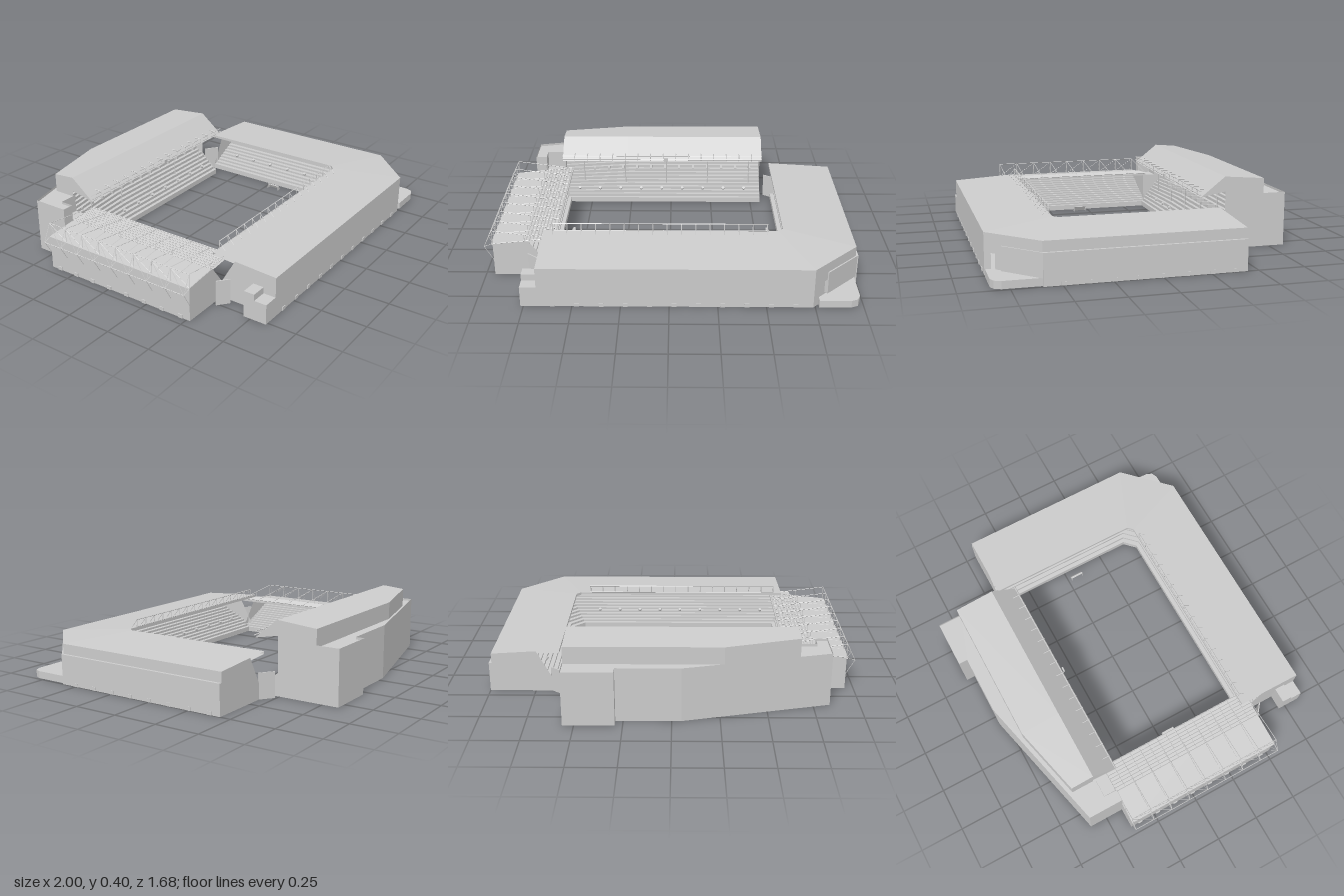
import * as THREE from 'three';
import { mergeGeometries } from 'three/addons/utils/BufferGeometryUtils.js';

const mat = new THREE.MeshStandardMaterial({ color: 0xcccccc, side: THREE.DoubleSide, flatShading: true });
const range = (n, f) => Array.from({ length: n }, (_, i) => f(i));

// Ruled surface through a list of cross-sections of [x, y, z] points
function loft(sections) {
  const p = [];
  for (let i = 0; i < sections.length - 1; i++) {
    const a = sections[i], b = sections[i + 1];
    for (let j = 0; j < a.length - 1; j++) {
      p.push(...a[j], ...b[j], ...b[j + 1], ...a[j], ...b[j + 1], ...a[j + 1]);
    }
  }
  const g = new THREE.BufferGeometry();
  g.setAttribute('position', new THREE.Float32BufferAttribute(p, 3));
  g.computeVertexNormals();
  return g;
}

const level = (path, y) => path.map(([x, z]) => [x, y, z]);
const wall = (path, y0, y1) => loft([level(path, y0), level(path, y1)]);

// Horizontal slab from a plan outline of [x, z] points
function slab(path, y0, y1) {
  const s = new THREE.Shape(path.map(([x, z]) => new THREE.Vector2(x, -z)));
  const g = y1 > y0 ? new THREE.ExtrudeGeometry(s, { depth: y1 - y0, bevelEnabled: false }) : new THREE.ShapeGeometry(s);
  return g.rotateX(-Math.PI / 2).translate(0, y0, 0);
}

// Upright plate from a [z, y] outline, placed at x
function plateX(pts, x) {
  const s = new THREE.Shape(pts.map(([z, y]) => new THREE.Vector2(-z, y)));
  return new THREE.ShapeGeometry(s).rotateY(Math.PI / 2).translate(x, 0, 0);
}

// Upright plate from an [x, y] outline, placed at z
function plateZ(pts, z) {
  return new THREE.ShapeGeometry(new THREE.Shape(pts.map(([x, y]) => new THREE.Vector2(x, y)))).translate(0, 0, z);
}

// Stepped rows rising from an inner plan path to an outer one
function terraces(inner, outer, y0, y1, rows = 14) {
  const at = (t, y) => inner.map(([x, z], i) => [x + (outer[i][0] - x) * t, y, z + (outer[i][1] - z) * t]);
  const s = [at(0, 0)];
  for (let r = 0; r < rows; r++) {
    const y = y0 + (y1 - y0) * r / (rows - 1);
    s.push(at(r / rows, y), at((r + 1) / rows, y));
  }
  return loft(s);
}

function rod(a, b, r = 0.0015) {
  const A = new THREE.Vector3(...a), B = new THREE.Vector3(...b), d = B.clone().sub(A);
  const g = new THREE.CylinderGeometry(r, r, d.length(), 4);
  g.applyQuaternion(new THREE.Quaternion().setFromUnitVectors(new THREE.Vector3(0, 1, 0), d.normalize()));
  return g.translate(...A.add(B).multiplyScalar(0.5).toArray());
}

const box = (w, h, d, x, y, z, ry = 0) => new THREE.BoxGeometry(w, h, d).rotateY(ry).translate(x, y, z);

export function createModel() {
  const model = new THREE.Group();
  const add = (parent, name, ...geos) => {
    const g = mergeGeometries(geos.map(q => {
      const n = q.index ? q.toNonIndexed() : q;
      n.deleteAttribute('uv');
      return n;
    }));
    const m = new THREE.Mesh(g, mat);
    m.name = name;
    parent.add(m);
  };
  const group = name => {
    const g = new THREE.Group();
    g.name = name;
    model.add(g);
    return g;
  };

  // Front and left stands, joined around the corner
  const L = group('cornerStand');
  const eave = [[-0.68, 0.84], [0.74, 0.84], [0.985, 0.595], [0.985, -0.44]];
  const roofIn = [[-0.68, 0.467], [0.585, 0.467], [0.612, 0.44], [0.612, -0.44]];
  const seatIn = [[-0.68, 0.485], [0.57, 0.485], [0.63, 0.425], [0.63, -0.44]];
  const seatOut = [[-0.68, 0.82], [0.73, 0.82], [0.965, 0.585], [0.965, -0.44]];
  add(L, 'roof', loft([level(eave, 0.205), level(eave, 0.22), level(roofIn, 0.243), level(roofIn, 0.228), level(eave, 0.205)]));
  add(L, 'outerWall', wall([eave[0], eave[1]], 0, 0.215), wall([eave[1], eave[2]], 0.12, 0.215),
    wall([eave[2], eave[3]], 0, 0.215), wall([[0.74, 0.84], [0.77, 0.81]], 0, 0.12), wall([[0.77, 0.79], [0.975, 0.585]], 0, 0.13));
  add(L, 'cornerBay', slab([[0.82, 0.77], [0.995, 0.595], [0.98, 0.58], [0.805, 0.755]], 0.04, 0.165));
  add(L, 'cornerBase', slab([[0.77, 0.84], [0.935, 0.84], [0.97, 0.825], [0.985, 0.79], [0.985, 0.59], [0.77, 0.805]], 0, 0.04));
  add(L, 'lowerLedge', box(0.02, 0.165, 1.035, 0.99, 0.0825, 0.0775));
  add(L, 'terraces', terraces(seatIn, seatOut, 0.03, 0.185));
  add(L, 'floor', slab([...seatIn, [0.985, -0.44], [0.985, 0.595], [0.74, 0.84], [-0.68, 0.84]], 0, 0));
  add(L, 'endWalls',
    plateX([[0.485, 0], [0.84, 0], [0.84, 0.22], [0.6, 0.233], [0.485, 0.03]], -0.68),
    plateZ([[0.63, 0], [0.985, 0], [0.985, 0.22], [0.74, 0.235], [0.63, 0.03]], -0.44));
  add(L, 'edgeTruss', rod([-0.63, 0.285, 0.47], [0.53, 0.285, 0.47], 0.003), rod([-0.63, 0.245, 0.47], [0.53, 0.245, 0.47], 0.002),
    ...range(16, i => rod([-0.63 + i * 0.077, 0.235, 0.475], [-0.63 + i * 0.077, 0.287, 0.47], 0.0025)),
    ...range(16, i => rod([-0.63 + i * 0.077, 0.285, 0.47], [-0.63 + i * 0.077, 0.238, 0.51])));
  add(L, 'stairBlock', box(0.09, 0.11, 0.07, -0.72, 0.055, 0.805), box(0.09, 0.145, 0.06, -0.72, 0.0725, 0.74));
  add(L, 'gates', ...range(11, i => box(0.025, 0.02, 0.006, -0.6 + i * 0.125, 0.01, 0.841)),
    ...range(8, i => box(0.006, 0.02, 0.025, 1.0, 0.01, -0.38 + i * 0.125)));

  // Back stand with its tall canopy
  const N = group('backStand');
  const back = [[0.56, -0.49], [0.56, -0.84], [0.29, -0.84], [0.29, -0.79], [-0.05, -0.79], [-0.84, -0.6],
    [-0.84, -0.4], [-0.775, -0.4], [-0.775, -0.475], [-0.67, -0.475]];
  add(N, 'outerWall', wall(back, 0, 0.298));
  add(N, 'flatRoof', slab([...back.slice(1), [-0.67, -0.61], [-0.27, -0.705], [0.56, -0.705]], 0.285, 0.285));
  add(N, 'cornerAnnex', box(0.105, 0.2, 0.075, -0.7225, 0.1, -0.4375));
  const canopy = (x, zb) => [[-0.35, 0.292], [-0.487, 0.4], [zb, 0.4 + (zb + 0.487) * 0.085], [zb, 0.285],
    [-0.49, 0.318], [-0.35, 0.292]].map(([z, y]) => [x, y, z]);
  const stations = [[-0.67, -0.617], [-0.27, -0.713], [0.56, -0.713]];
  add(N, 'canopy', loft(stations.map(s => canopy(...s))));
  add(N, 'canopyEnds', ...[stations[0], stations[2]].map(([x, zb]) => plateX([...canopy(x, zb).slice(0, 5).map(p => [p[2], p[1]])], x)));
  add(N, 'endWalls', ...[stations[0], stations[2]].map(([x, zb]) =>
    plateX([[-0.38, 0], [zb, 0], [zb, 0.3], [-0.49, 0.318], [-0.49, 0.125], [-0.38, 0.03]], x)));
  const nIn = [[0.56, -0.38], [-0.27, -0.38], [-0.67, -0.38]];
  add(N, 'terraces', terraces(nIn, [[0.56, -0.7], [-0.27, -0.7], [-0.67, -0.605]], 0.03, 0.27, 16));
  add(N, 'floor', slab([[-0.67, -0.38], [0.56, -0.38], ...back.slice(1)], 0, 0));
  add(N, 'edgeTruss', rod([-0.67, 0.325, -0.35], [0.56, 0.325, -0.35], 0.003), rod([-0.67, 0.305, -0.348], [0.56, 0.305, -0.348], 0.004),
    ...range(15, i => rod([-0.595 + i * 0.078, 0.325, -0.345], [-0.595 + i * 0.078, 0.325, -0.39], 0.003)),
    ...range(15, i => rod([-0.595 + i * 0.078, 0.295, -0.35], [-0.595 + i * 0.078, 0.325, -0.35], 0.002)));
  add(N, 'posts', ...range(5, i => rod([-0.55 + i * 0.26, 0.09, -0.47], [-0.55 + i * 0.26, 0.32, -0.47], 0.003)));
  add(N, 'aisleTunnels', ...range(13, i => box(0.014, 0.018, 0.05, -0.58 + i * 0.09, 0.165, -0.54)));
  add(N, 'scoreboard', box(0.025, 0.02, 0.008, -0.03, 0.31, -0.336));

  // Right stand: low roof hung from an exposed frame
  const W = group('rightStand');
  const z0 = -0.4, z1 = 0.52, bay = 0.115;
  const run = (x, y) => [[x, y, z0], [x, y, z1]];
  const line = (x, y, r) => rod(...run(x, y), r);
  add(W, 'roof', loft([run(-0.96, 0.178), run(-0.96, 0.188), run(-0.612, 0.218), run(-0.612, 0.208), run(-0.96, 0.178)]));
  add(W, 'outerWall', wall([[-0.952, z0], [-0.952, z1]], 0, 0.185));
  add(W, 'terraces', terraces([[-0.63, z0], [-0.63, z1]], [[-0.94, z0], [-0.94, z1]], 0.03, 0.16));
  add(W, 'floor', slab([[-0.952, z0], [-0.63, z0], [-0.63, z1], [-0.952, z1]], 0, 0));
  const end = [[-0.63, 0], [-0.63, 0.03], [-0.76, 0.203], [-0.952, 0.186], [-0.952, 0]];
  add(W, 'endWalls', plateZ(end, z0), plateZ(end, z1));
  add(W, 'roofFrames', ...range(9, i => {
    const z = z0 + i * bay;
    const n = [[-0.952, 0.265, z], [-0.998, 0.17, z], [-0.952, 0.09, z], [-0.952, 0.187, z], [-0.62, 0.222, z]];
    return [rod(n[0], n[1]), rod(n[1], n[2]), rod(n[0], n[3], 0.002), rod(n[1], n[3]), rod(n[0], n[4], 0.002),
      rod(n[3], n[4], 0.002), rod([-0.78, 0.203, z], [-0.78, 0.242, z])];
  }).flat(), line(-0.952, 0.265, 0.002), line(-0.998, 0.17, 0.002));
  add(W, 'frameBraces', ...range(8, i => {
    const a = z0 + i * bay, b = a + bay;
    return [rod([-0.952, 0.265, a], [-0.998, 0.17, b], 0.001), rod([-0.952, 0.187, b], [-0.952, 0.265, a], 0.001)];
  }).flat());
  add(W, 'roofGrid', ...range(9, i => line(-0.77 + i * 0.019, 0.21 + i * 0.0016, 0.003)),
    ...range(17, i => rod([-0.77, 0.208, z0 + i * bay / 2], [-0.615, 0.222, z0 + i * bay / 2], 0.002)));
  add(W, 'gates', ...range(8, i => box(0.006, 0.02, 0.025, -0.954, 0.01, z0 + (i + 0.5) * bay)));

  // Round openings along the terraces
  const disc = (x, y, z, rx, rz) => new THREE.CylinderGeometry(0.009, 0.009, 0.012, 10).rotateX(rx).rotateZ(rz).translate(x, y, z);
  add(model, 'roundOpenings', ...range(9, i => disc(-0.56 + i * 0.13, 0.085, 0.58, -0.5, 0)),
    ...range(6, i => disc(0.72, 0.085, -0.32 + i * 0.13, 0, 0.5)),
    ...range(9, i => disc(-0.58 + i * 0.13, 0.075, -0.425, 0.6, 0)));

  // Gate panels closing the open corners
  add(model, 'cornerPanels', box(0.088, 0.14, 0.006, 0.625, 0.07, -0.463, -0.64),
    box(0.075, 0.14, 0.006, -0.732, 0.07, 0.565, -0.69));

  // Goals: frame, sloping net and sides
  for (const s of [-1, 1]) {
    const f = s * 0.565, b = s * 0.592, a = 0.022, c = 0.096;
    add(model, s < 0 ? 'rightGoal' : 'leftGoal',
      loft([[[f, 0.028, a], [f, 0.028, c]], [[f + s * 0.01, 0.028, a], [f + s * 0.01, 0.028, c]], [[b, 0, a], [b, 0, c]]]),
      ...[a, c].map(z => plateZ([[f, 0], [b, 0], [f + s * 0.01, 0.028], [f, 0.028]], z)),
      rod([f, 0.028, a], [f, 0.028, c]), rod([f, 0, a], [f, 0.028, a]), rod([f, 0, c], [f, 0.028, c]));
  }
  return model;
}
